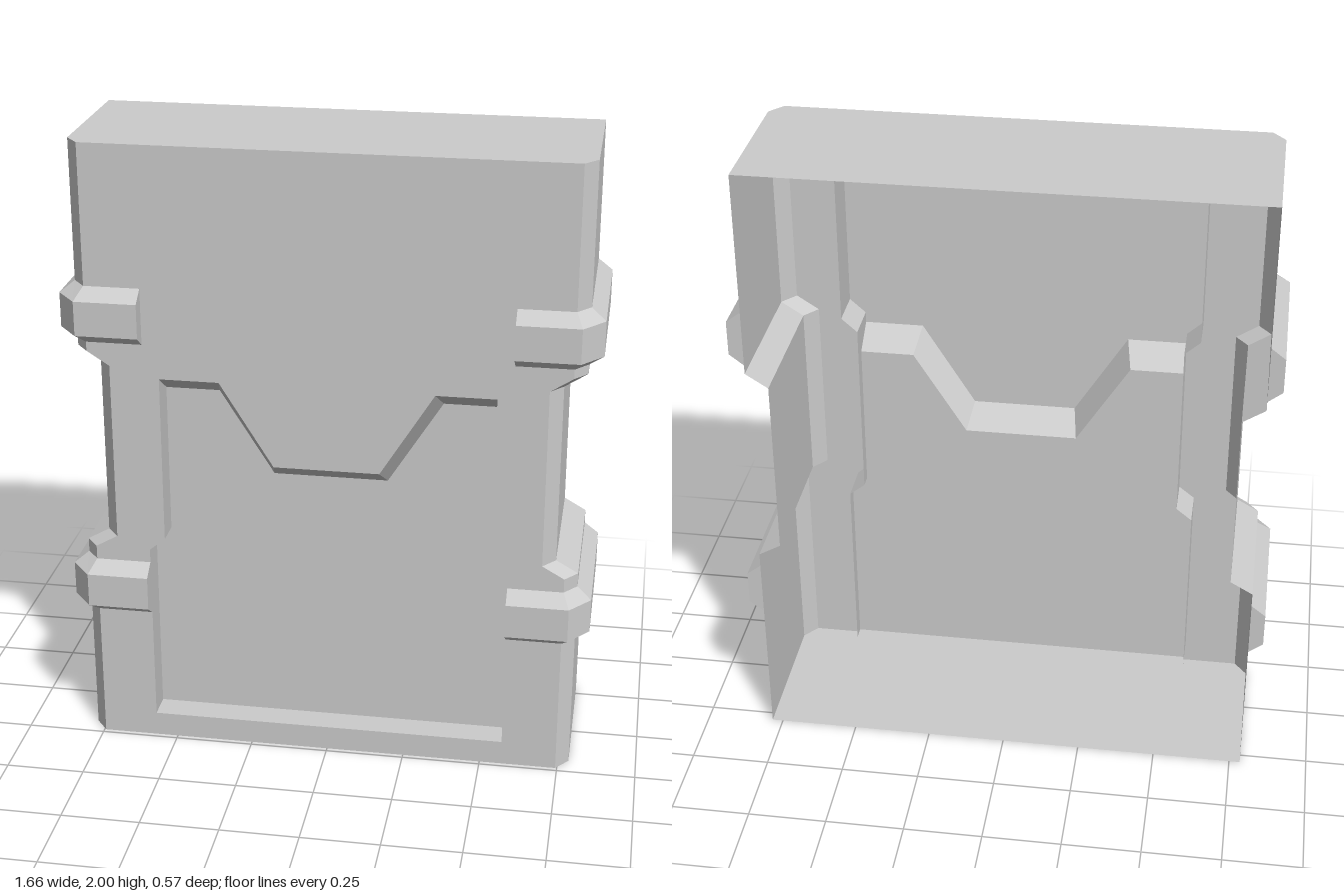
import * as THREE from 'three';

const BACK = -0.285, FRONT = 0.235, CHAMFER_Z = 0.185, LIP_BACK = 0.1, PANEL_Z = 0.145;

// Half widths at each height: full at the ends, narrower at the waist
const outerLevels = [[0.785, 0], [0.785, 0.68], [0.715, 0.72], [0.715, 1.3], [0.785, 1.345], [0.785, 2]];
const innerLevels = [[0.57, 0.08], [0.57, 0.68], [0.52, 0.72], [0.52, 1.3], [0.57, 1.345], [0.57, 1.92]];

// Stepped joint between the two door panels, at its front and its back edge
const jointFront = [[-0.52, 1.265], [-0.333, 1.265], [-0.165, 0.995], [0.165, 0.995], [0.333, 1.265], [0.52, 1.265]];
const jointBack = [[-0.52, 1.205], [-0.35, 1.205], [-0.18, 0.935], [0.18, 0.935], [0.35, 1.205], [0.52, 1.205]];

const material = new THREE.MeshStandardMaterial({ color: 0xcccccc, flatShading: true, side: THREE.DoubleSide });

function addMesh(parent, name, geometry) {
  const mesh = new THREE.Mesh(geometry, material);
  mesh.name = name;
  parent.add(mesh);
}

// Flat-faced surface through rows of [x, y, z] points
function loft(rows, flip = false) {
  const pos = [];
  for (let i = 0; i < rows.length - 1; i++) {
    for (let j = 0; j < rows[i].length - 1; j++) {
      const a = rows[i][j], b = rows[i][j + 1], c = rows[i + 1][j + 1], d = rows[i + 1][j];
      for (const p of flip ? [a, c, b, a, d, c] : [a, b, c, a, c, d]) pos.push(...p);
    }
  }
  const geometry = new THREE.BufferGeometry();
  geometry.setAttribute('position', new THREE.Float32BufferAttribute(pos, 3));
  geometry.computeVertexNormals();
  return geometry;
}

// Closed symmetric outline, up the right side and down the left
function outline(levels, inset = 0) {
  const right = levels.map(([w, y]) => [w - inset, y]);
  return [...right, ...right.map(([x, y]) => [-x, y]).reverse()];
}

const vectors = (points) => points.map(([x, y]) => new THREE.Vector2(x, y));
const atZ = (points, z) => points.map(([x, y]) => [x, y, z]);
const flat = (points, z) => new THREE.ShapeGeometry(new THREE.Shape(vectors(points))).translate(0, 0, z);

// Casing: chamfered side walls, floor, roof and front frame, open at the back
function addCasing(group) {
  const section = (s, w, y) => [[s * w, y, BACK], [s * w, y, CHAMFER_Z], [s * (w - 0.04), y, FRONT]];
  for (const s of [1, -1]) {
    const rows = outerLevels.map(([w, y]) => section(s, w, y));
    addMesh(group, s > 0 ? 'leftWall' : 'rightWall', loft(rows, s > 0));
  }
  for (const y of [0, 2]) {
    const rows = [section(-1, 0.785, y), section(1, 0.785, y)];
    addMesh(group, y ? 'roof' : 'floor', loft(rows, y === 0));
  }
  const frame = new THREE.Shape(vectors(outline(outerLevels, 0.04)));
  const opening = outline(innerLevels);
  frame.holes.push(new THREE.Path(vectors(opening)));
  addMesh(group, 'frontFrame', new THREE.ShapeGeometry(frame).translate(0, 0, FRONT));

  // Lip running back from the opening
  const loop = [...opening, opening[0]];
  addMesh(group, 'openingLip', loft([atZ(loop, FRONT), atZ(loop, LIP_BACK)], true));
}

// Door: upper panel flush with the frame, lower panel set back below a sloped joint
function addDoor(group) {
  const upper = [...jointFront, ...outline(innerLevels.slice(3)).slice(0, 6)];
  addMesh(group, 'upperPanel', flat(upper, FRONT));
  addMesh(group, 'panelJoint', loft([atZ(jointBack, PANEL_Z), atZ(jointFront, FRONT)]));

  const [bottom, low, waist] = innerLevels;
  const left = [bottom, low, waist].map(([w, y]) => [-w, y]);
  const lower = [bottom, low, waist, ...[...jointBack].reverse(), ...left.reverse()];
  addMesh(group, 'lowerPanel', flat(lower, PANEL_Z));
}

// Bevelled band wrapping a front corner from the opening to the back
function addBand(group, name, s, y0) {
  const path = [ // base x, z and outer x, z
    [0.57, FRONT, 0.57, 0.285],
    [0.745, FRONT, 0.765, 0.285],
    [0.785, CHAMFER_Z, 0.83, 0.205],
    [0.785, BACK, 0.83, BACK],
  ];
  const rows = path.map(([bx, bz, ox, oz]) => [
    [s * bx, y0, bz], [s * ox, y0 + 0.035, oz], [s * ox, y0 + 0.145, oz], [s * bx, y0 + 0.18, bz],
  ]);
  const cap = ([a, b, c, d]) => [[a, b], [d, c]];
  const band = new THREE.Group();
  band.name = name;
  addMesh(band, 'bandSurface', loft(rows, s > 0));
  addMesh(band, 'bandFrontEnd', loft(cap(rows[0]), s < 0));
  addMesh(band, 'bandBackEnd', loft(cap(rows[3]), s > 0));
  group.add(band);
}

export function createModel() {
  const group = new THREE.Group();
  group.name = 'doorCasing';
  addCasing(group);
  addDoor(group);
  for (const s of [1, -1]) {
    const side = s > 0 ? 'left' : 'right';
    addBand(group, side + 'LowerBand', s, 0.455);
    addBand(group, side + 'UpperBand', s, 1.375);
  }
  return group;
}
